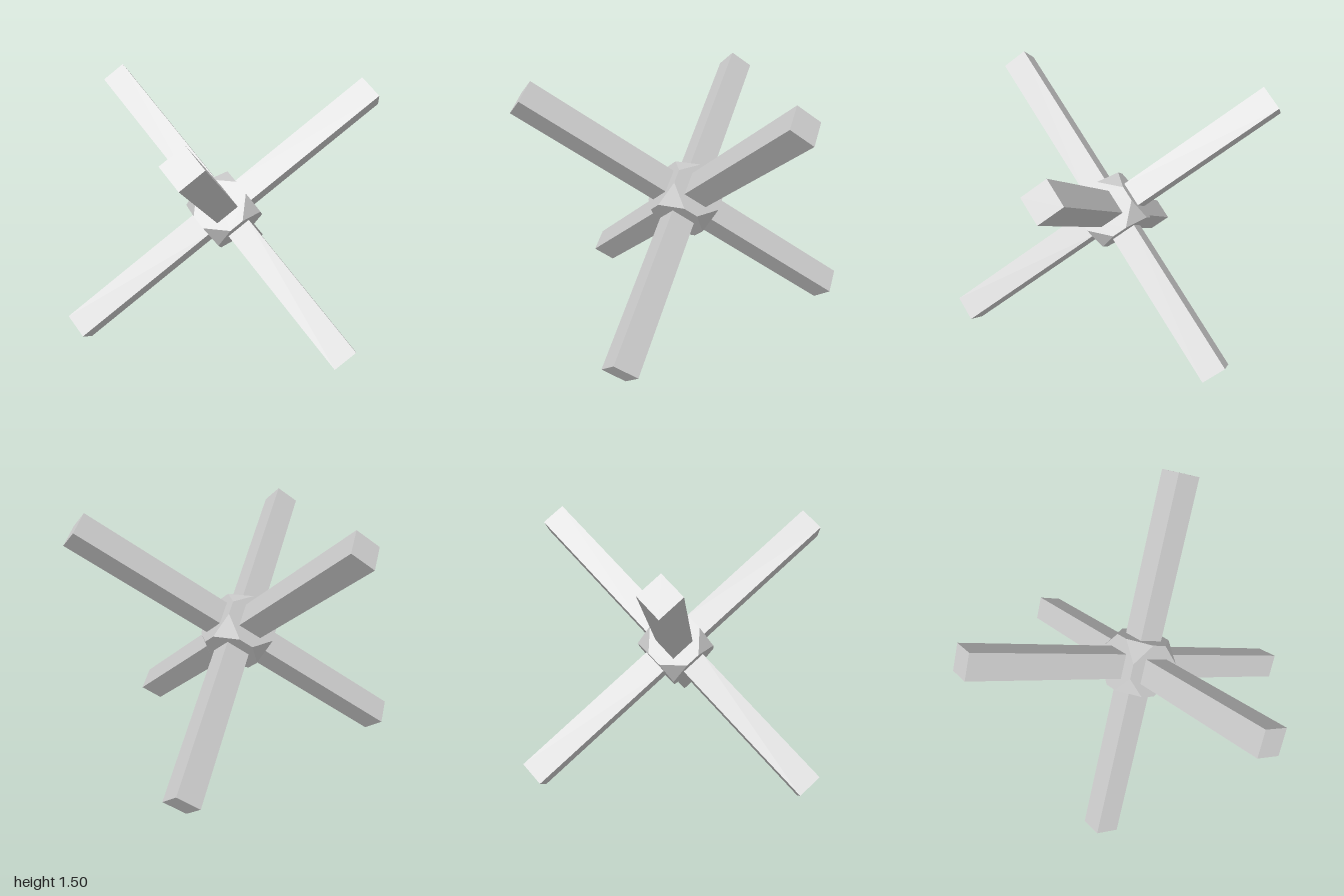
import * as THREE from 'three';
import { ConvexGeometry } from 'three/addons/geometries/ConvexGeometry.js';

const REACH = 1.147;  // centre to arm tip
const WIDTH = 0.155;  // arm thickness
const FACE = 0.163;   // centre to hub face
const CUT = 0.046;    // where the hub's corner cuts begin along each edge

export function createModel() {
  const model = new THREE.Group();
  const material = new THREE.MeshStandardMaterial({ color: 0xcccccc, flatShading: true });

  // Jack: a cube-aligned cross, tipped so that one cube diagonal is vertical
  const jack = new THREE.Group();
  jack.name = 'jack';
  const rise = 1 / Math.sqrt(3), run = Math.sqrt(2 / 3);
  const axes = [0, 1, 2].map((i) => {
    const a = (i * 2 * Math.PI) / 3;
    return new THREE.Vector3(Math.sin(a) * run, rise, Math.cos(a) * run);
  });
  jack.quaternion.setFromRotationMatrix(new THREE.Matrix4().makeBasis(...axes));
  jack.position.y = 0.752;
  model.add(jack);

  // Hub: a cube with its eight corners cut off
  const corners = [];
  for (const x of [-1, 1]) for (const y of [-1, 1]) for (const z of [-1, 1]) {
    for (let cut = 0; cut < 3; cut++) {
      const p = new THREE.Vector3(x, y, z).multiplyScalar(FACE);
      p.setComponent(cut, p.getComponent(cut) * CUT / FACE);
      corners.push(p);
    }
  }
  const hub = new THREE.Mesh(new ConvexGeometry(corners), material);
  hub.name = 'hub';
  jack.add(hub);

  // Six square arms, one from each hub face
  const start = FACE - 0.005;
  const armGeometry = new THREE.BoxGeometry(WIDTH, REACH - start, WIDTH);
  armGeometry.translate(0, (REACH + start) / 2, 0);
  for (let axis = 0; axis < 3; axis++) for (const side of [-1, 1]) {
    const arm = new THREE.Mesh(armGeometry, material);
    arm.name = 'arm';
    const direction = new THREE.Vector3().setComponent(axis, side);
    arm.quaternion.setFromUnitVectors(new THREE.Vector3(0, 1, 0), direction);
    jack.add(arm);
  }
  return model;
}
